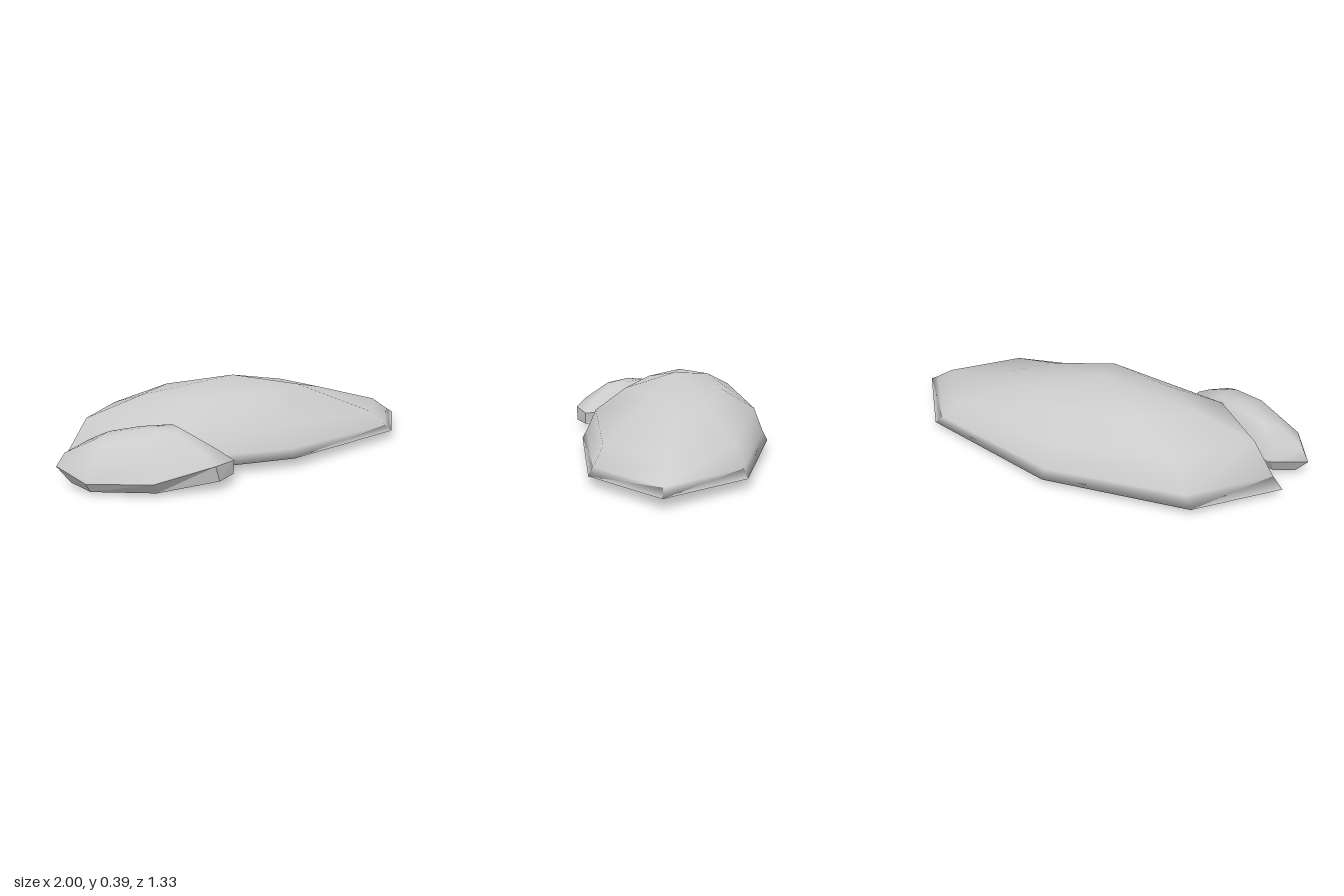
import * as THREE from 'three';

// Skin a stack of rings (low to high); a ring of one point is a pole.
function loft(rings) {
  const pos = [], idx = [], starts = [];
  for (const ring of rings) {
    starts.push(pos.length / 3);
    ring.forEach(p => pos.push(...p));
  }
  const n = Math.max(...rings.map(r => r.length));
  for (let r = 0; r < rings.length - 1; r++) {
    const at = (k, i) => starts[k] + (rings[k].length === 1 ? 0 : i % n);
    for (let i = 0; i < n; i++) {
      const a = at(r, i), b = at(r, i + 1), d = at(r + 1, i), c = at(r + 1, i + 1);
      if (a !== b) idx.push(b, a, d);
      if (c !== d) idx.push(b, d, c);
    }
  }
  const geo = new THREE.BufferGeometry();
  geo.setAttribute('position', new THREE.Float32BufferAttribute(pos, 3));
  geo.setIndex(idx);
  geo.computeVertexNormals();
  return geo;
}

function addPart(group, name, rings, flatShading = false) {
  const mesh = new THREE.Mesh(loft(rings),
    new THREE.MeshStandardMaterial({ color: 0xcccccc, flatShading }));
  mesh.name = name;
  group.add(mesh);
}

export function createModel() {
  const model = new THREE.Group();
  model.name = 'rocks';

  // Large rock: a flat-bottomed dome leaning higher on one side
  const outline = [[-1, 0.23], [-0.81, -0.2], [-0.18, -0.56], [0.59, -0.67],
    [1, -0.44], [0.81, -0.02], [0.13, 0.36], [-0.59, 0.44]];
  const cz = -0.11;
  const level = (scale, y, tilt) => outline.map(([x, z]) =>
    [x * scale, y - tilt * x * scale, cz + (z - cz) * scale]);
  const brow = [[-0.58, 0.34, 0.08], [-0.42, 0.345, -0.15], [-0.09, 0.315, -0.335], [0.27, 0.295, -0.38],
    [0.46, 0.26, -0.29], [0.28, 0.32, -0.1], [0.06, 0.315, 0.14], [-0.3, 0.33, 0.16]];
  addPart(model, 'largeRock', [
    [[0, 0.045, cz]],
    level(1, 0.045, 0),
    level(0.95, 0.09, 0.015),
    level(0.85, 0.205, 0.07),
    brow,
    [[-0.08, 0.39, -0.08]],
  ]);

  // Small rock: smooth crown over a faceted underside
  const small = new THREE.Group();
  small.name = 'smallRock';
  const bottom = [[-0.94, 0.03, 0.42], [-0.86, 0.02, 0.35], [-0.57, 0.025, 0.29], [-0.26, 0.05, 0.39],
    [-0.215, 0.045, 0.52], [-0.3, 0.045, 0.615], [-0.58, 0.015, 0.62], [-0.86, 0.015, 0.53]];
  const waist = [[-1, 0.11, 0.42], [-0.87, 0.1, 0.3], [-0.62, 0.1, 0.285], [-0.29, 0.115, 0.375],
    [-0.21, 0.107, 0.515], [-0.32, 0.12, 0.63], [-0.6, 0.068, 0.66], [-0.88, 0.06, 0.555]];
  const shoulder = [[-0.96, 0.17, 0.42], [-0.84, 0.2, 0.32], [-0.61, 0.22, 0.31], [-0.38, 0.19, 0.37],
    [-0.3, 0.17, 0.5], [-0.36, 0.17, 0.59], [-0.6, 0.16, 0.61], [-0.85, 0.15, 0.54]];
  const crown = [[-0.83, 0.22, 0.42], [-0.76, 0.24, 0.36], [-0.62, 0.255, 0.36], [-0.47, 0.26, 0.38],
    [-0.45, 0.26, 0.45], [-0.48, 0.25, 0.5], [-0.62, 0.235, 0.53], [-0.79, 0.21, 0.48]];
  addPart(small, 'smallRockCrown', [waist, shoulder, crown, [[-0.62, 0.262, 0.43]]]);
  addPart(small, 'smallRockUnderside', [[[-0.49, 0, 0.49]], bottom, waist], true);
  model.add(small);

  return model;
}
